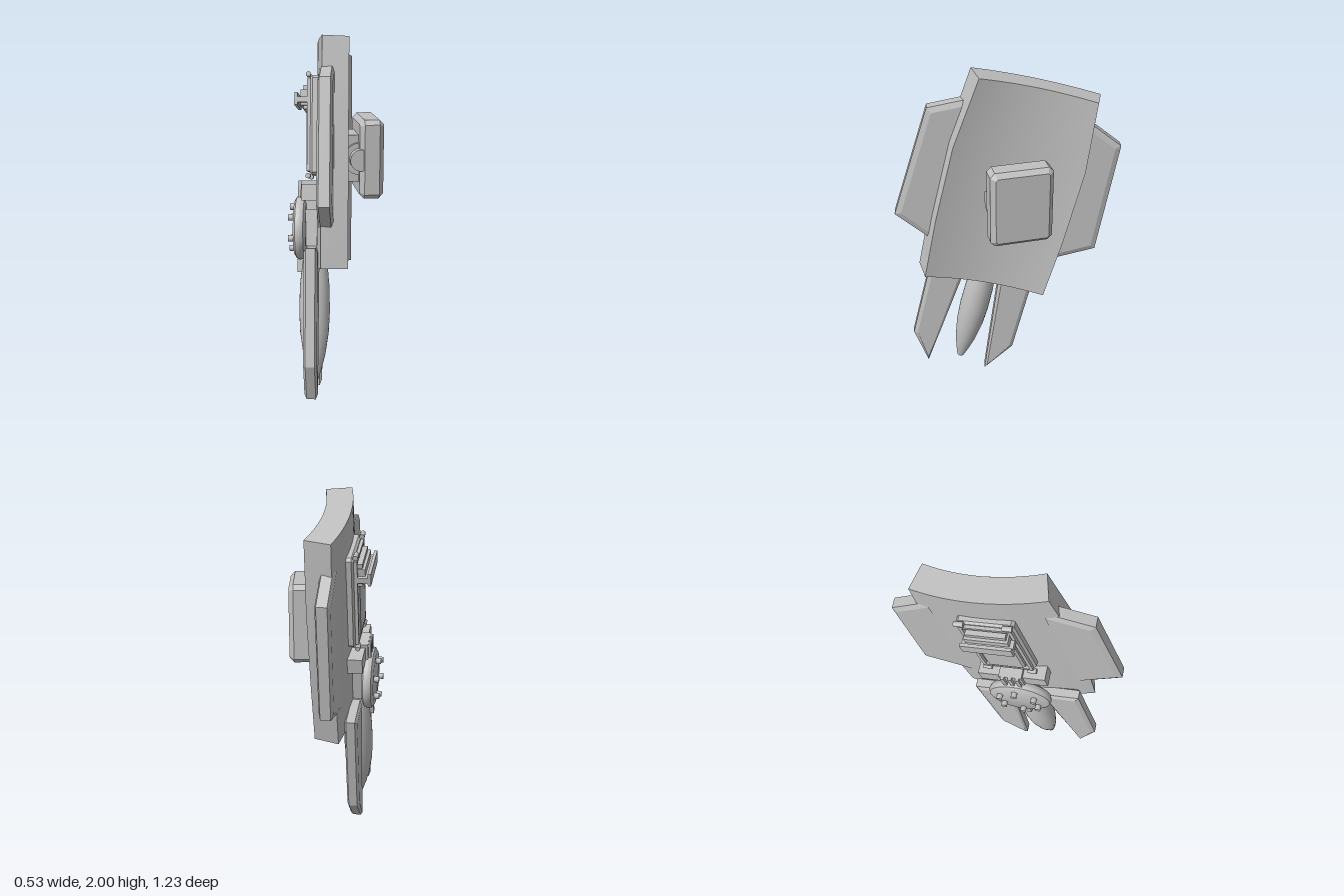
import * as THREE from 'three';
import { toCreasedNormals } from 'three/addons/utils/BufferGeometryUtils.js';

const MID = 0.3125; // centre line of the shield across its width

export function createModel() {
  const model = new THREE.Group();
  model.name = 'shield';
  const grey = new THREE.MeshStandardMaterial({ color: 0xbfbfbf });
  grey.name = 'grey';

  // Tilted frame: x = outward from the shield, y = along it, z = across it
  const shield = new THREE.Group();
  shield.name = 'tiltedShield';
  const up = new THREE.Vector3(0.035, 0.97, -0.24).normalize();
  const across = new THREE.Vector3(-0.163, 0.237, 0.957);
  const out = new THREE.Vector3().crossVectors(up, across).normalize();
  across.crossVectors(out, up);
  shield.quaternion.setFromRotationMatrix(new THREE.Matrix4().makeBasis(out, up, across));
  model.add(shield);

  const add = (parent, name, geometry, x = 0, y = 0, z = 0) => {
    const mesh = new THREE.Mesh(geometry, grey);
    mesh.name = name;
    mesh.position.set(x, y, z);
    parent.add(mesh);
    return mesh;
  };

  // Box given by its limits in x and y, centred across on the shield
  const box = (name, x0, x1, y0, y1, width, z = 0) =>
    add(shield, name, new THREE.BoxGeometry(x1 - x0, y1 - y0, width),
      (x0 + x1) / 2, (y0 + y1) / 2, MID + z);

  // Bevelled slab: outline of [z, y] points, thickness from x0 to x1
  const slab = (points, x0, x1, bevelSize, bevelThickness) => {
    const shape = new THREE.Shape(points.map(p => new THREE.Vector2(...p)));
    const g = new THREE.ExtrudeGeometry(shape, {
      depth: x1 - x0 - 2 * bevelThickness, bevelEnabled: true, bevelSegments: 1,
      bevelSize, bevelThickness, bevelOffset: -bevelSize,
    });
    g.rotateY(-Math.PI / 2);
    g.translate(x1 - bevelThickness, 0, 0);
    return g;
  };

  // Rectangle outline with cut corners
  const cutRect = (hz, hy, c) => [
    [-hz + c, -hy], [hz - c, -hy], [hz, -hy + c], [hz, hy - c],
    [hz - c, hy], [-hz + c, hy], [-hz, hy - c], [-hz, -hy + c],
  ];

  // Curved main plate
  const stations = [[0.687, 0.362], [1.05, 0.377], [1.5, 0.377], [1.897, 0.332]];
  const plate = new THREE.BoxGeometry(1, 1, 1, 1, 3, 20);
  const pos = plate.attributes.position;
  const sag = 0.042;
  for (let i = 0; i < pos.count; i++) {
    const [y, half] = stations[Math.round((pos.getY(i) + 0.5) * 3)];
    const t = pos.getZ(i) * 2, d = pos.getX(i) * 0.14;
    const slope = 2 * sag * t / half;
    pos.setXYZ(i, 0.02 - sag * (1 - t * t) + d, y, MID + t * half - slope * d);
  }
  add(shield, 'mainPlate', toCreasedNormals(plate, 0.5));

  // Side wings and lower blades, mirrored about the centre line
  const wing = [[0.28, 1.765], [0.375, 1.727], [0.532, 1.655], [0.578, 1.006], [0.394, 0.912], [0.28, 0.855]];
  const blade = [[0.09, 0.79], [0.31, 0.79], [0.31, 0.165], [0.18, -0.032]];
  for (const [side, s] of [['front', 1], ['back', -1]]) {
    const mirror = pts => pts.map(([z, y]) => [MID + s * z, y]);
    add(shield, side + 'Wing', slab(mirror(wing), -0.065, 0.015, 0.03, 0.012));
    add(shield, side + 'Blade', slab(mirror(blade), -0.145, -0.072, 0.022, 0.012));
  }

  // Central spike
  const lathe = (pts, n) => new THREE.LatheGeometry(pts.map(p => new THREE.Vector2(...p)), n);
  add(shield, 'spike', toCreasedNormals(lathe([
    [0, 0.03], [0.02, 0.03], [0.042, 0.1], [0.062, 0.18], [0.08, 0.3], [0.086, 0.42],
    [0.083, 0.56], [0.07, 0.7], [0.045, 0.8], [0, 0.82],
  ], 24), 0.6), -0.105, 0, MID - 0.01);
  box('spikeClip', -0.2, -0.14, 0.64, 0.74, 0.03);

  // Hinge disc with a ring of bolts
  const DISC_Y = 0.89;
  const disc = lathe([[0, 0], [0.15, 0], [0.172, 0.012], [0.18, 0.035], [0.172, 0.056], [0.15, 0.068], [0, 0.07]], 40);
  disc.rotateZ(Math.PI / 2);
  add(shield, 'hingeDisc', toCreasedNormals(disc, 0.7), -0.148, DISC_Y, MID);
  box('discMount', -0.16, -0.06, DISC_Y - 0.1, DISC_Y + 0.1, 0.16);
  const bolt = new THREE.CylinderGeometry(0.017, 0.017, 0.04, 12);
  bolt.rotateZ(Math.PI / 2);
  for (let i = 0; i < 6; i++) {
    const a = (i + 0.5) * Math.PI / 3;
    add(shield, 'bolt', bolt, -0.225, DISC_Y + 0.115 * Math.sin(a), MID + 0.115 * Math.cos(a));
  }

  // Ribbed connector between the disc and the panel
  box('connectorBlock', -0.165, -0.06, 1.04, 1.13, 0.38);
  box('connectorNeck', -0.18, -0.08, 0.98, 1.15, 0.13);
  for (let i = -1; i <= 1; i++) box('connectorRib', -0.195, -0.17, 1.03, 1.15, 0.02, i * 0.042);

  // Inner panel with raised rim and corner pins
  const P0 = 1.18, P1 = 1.72, PW = 0.3;
  const panel = slab(cutRect(PW / 2, (P1 - P0) / 2, 0.015), -0.125, -0.06, 0.012, 0.012);
  add(shield, 'innerPanel', panel, 0, (P0 + P1) / 2, MID);
  for (const s of [-1, 1]) {
    box('panelSideRim', -0.142, -0.1, P0 + 0.02, P1 - 0.02, 0.018, s * 0.13);
    for (const y of [P0 - 0.005, P1 + 0.005]) {
      const pin = new THREE.CylinderGeometry(0.014, 0.014, 0.05, 10);
      pin.rotateX(Math.PI / 2);
      add(shield, 'panelPin', pin, -0.135, y, MID + s * 0.125);
    }
  }
  box('panelTopRim', -0.142, -0.1, P1 - 0.038, P1 - 0.02, 0.26);
  box('panelBottomRim', -0.142, -0.1, P0 + 0.02, P0 + 0.038, 0.26);
  add(shield, 'panelCover', slab(cutRect(0.105, 0.17, 0.012), -0.148, -0.11, 0.01, 0.01), 0, 1.4, MID);

  // Stepped block and latch bar on the panel
  box('latchBase', -0.165, -0.11, 1.54, 1.67, 0.21);
  box('latchStep', -0.18, -0.11, 1.56, 1.645, 0.23);
  box('latchBar', -0.212, -0.14, 1.575, 1.605, 0.27);
  box('latchLip', -0.212, -0.195, 1.56, 1.63, 0.27);

  // Upright arm mount on the outer side
  const mount = new THREE.Group();
  mount.name = 'armMount';
  mount.position.set(0, 1.328, -0.02);
  model.add(mount);
  add(mount, 'mountBlock', slab(cutRect(0.17, 0.218, 0.025), 0.118, 0.25, 0.025, 0.025));
  add(mount, 'mountBracket', new THREE.BoxGeometry(0.1, 0.26, 0.2), 0.08, 0, 0);
  const axle = (name, r, length) => {
    const g = new THREE.CylinderGeometry(r, r, length, 28);
    g.rotateX(Math.PI / 2);
    add(mount, name, g, 0.125, 0, 0);
  };
  axle('mountDrum', 0.09, 0.24);
  axle('mountAxle', 0.06, 0.33);

  return model;
}
